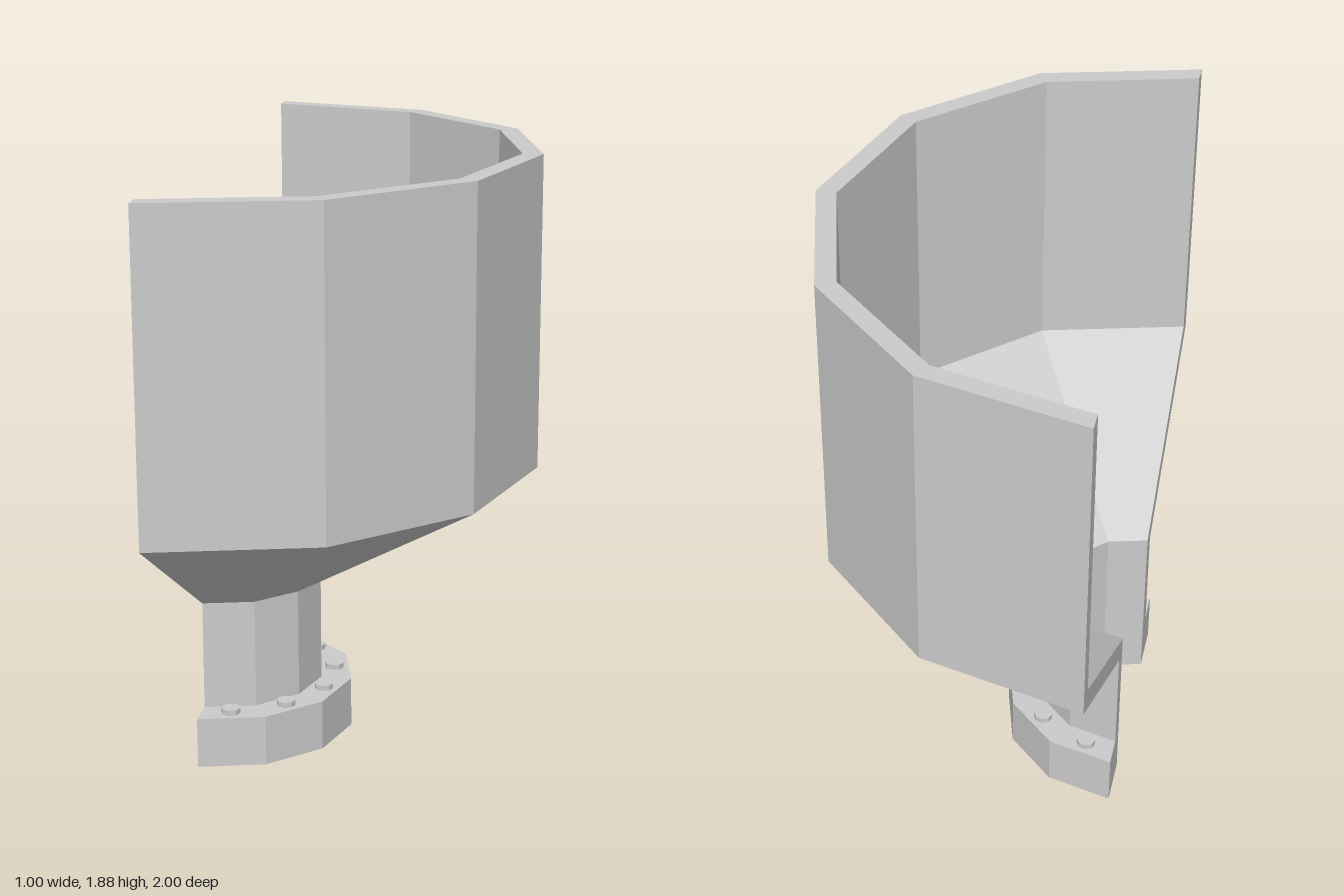
import * as THREE from 'three';

const SIDES = 6;          // facets in the half turn
const AXIS_X = -0.5;      // the cut plane holds the axis of revolution
const FLANGE_TOP = 0.16;

const material = new THREE.MeshStandardMaterial({ color: 0xcccccc, flatShading: true });

// Half-turn solid from an anticlockwise [radius, height] profile, with flat cut ends
function halfTurn(name, profile, closed) {
  const group = new THREE.Group();
  group.name = name;
  const points = profile.map(([r, y]) => new THREE.Vector2(r, y));
  const ring = closed ? [...points, points[0].clone()] : points;
  const surface = new THREE.Mesh(new THREE.LatheGeometry(ring, SIDES, 0, Math.PI), material);
  surface.name = name + 'Surface';
  group.add(surface);
  for (const side of [1, -1]) {
    const section = new THREE.Shape(points.map((p) => new THREE.Vector2(p.x * side, p.y)));
    const end = new THREE.Mesh(new THREE.ShapeGeometry(section), material);
    end.name = name + (side > 0 ? 'LeftCut' : 'RightCut');
    end.rotation.y = -Math.PI / 2;
    group.add(end);
  }
  return group;
}

export function createModel() {
  const model = new THREE.Group();
  model.name = 'halfHopper';
  const half = new THREE.Group();
  half.name = 'cutawayHopper';
  half.position.x = AXIS_X;
  model.add(half);

  // Thin wall: neck, cone and upright bin
  half.add(halfTurn('hopperWall', [
    [0.25, 0], [0.312, 0], [0.312, 0.506], [1, 0.904], [1, 1.88],
    [0.937, 1.88], [0.937, 0.94], [0.25, 0.542],
  ], true));

  // Flange around the foot of the neck
  half.add(halfTurn('flange', [
    [0.312, 0], [0.41, 0], [0.41, FLANGE_TOP], [0.312, FLANGE_TOP],
  ], false));

  // One bolt head in the middle of each flange facet
  const boltGeometry = new THREE.CylinderGeometry(0.03, 0.03, 0.03, 8);
  for (let i = 0; i < SIDES; i++) {
    const angle = ((i + 0.5) * Math.PI) / SIDES;
    const bolt = new THREE.Mesh(boltGeometry, material);
    bolt.name = 'flangeBolt' + (i + 1);
    bolt.position.set(0.35 * Math.sin(angle), FLANGE_TOP + 0.002, 0.35 * Math.cos(angle));
    half.add(bolt);
  }
  return model;
}
